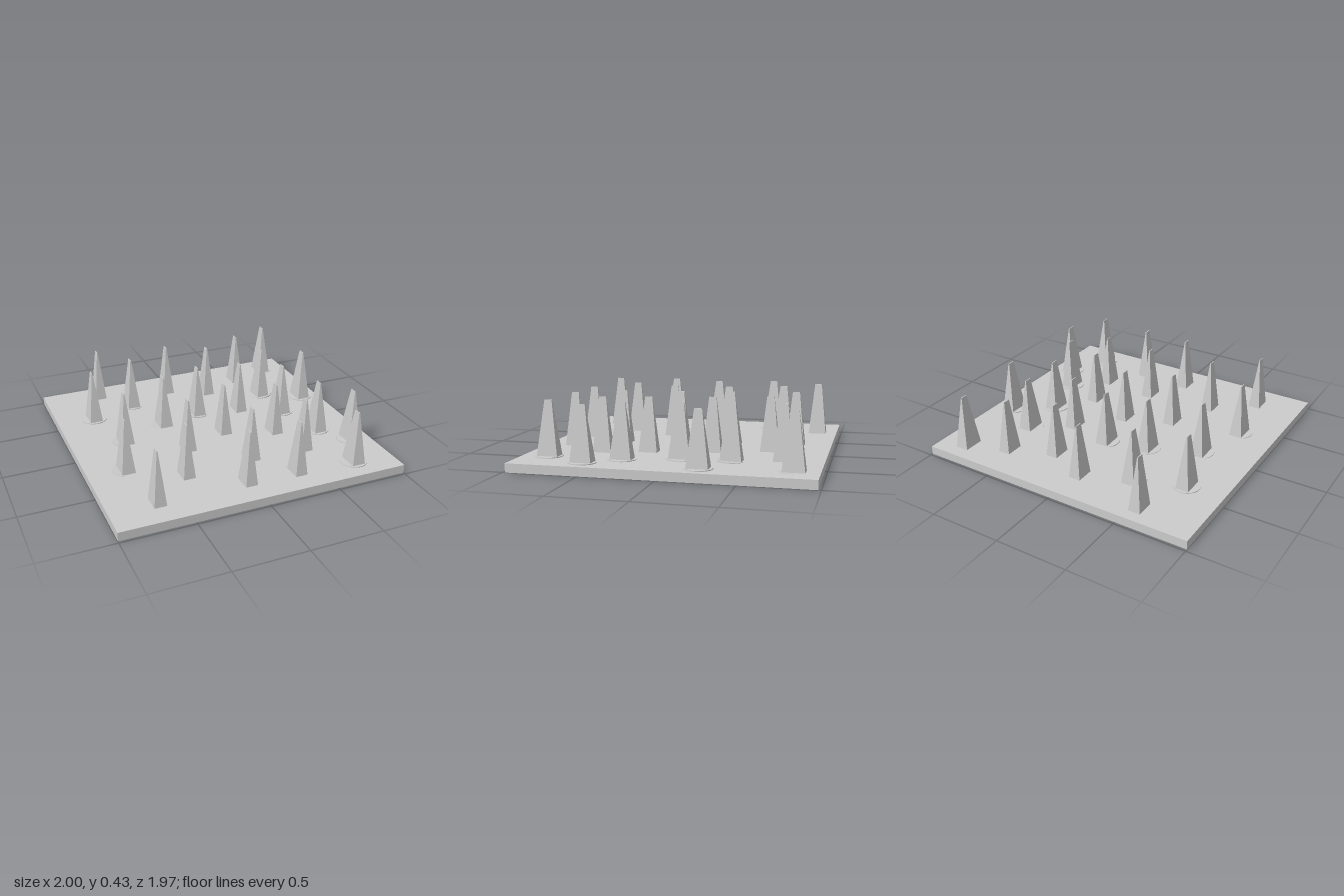
import * as THREE from 'three';

const material = new THREE.MeshStandardMaterial({ color: 0xcccccc, flatShading: true });
const plateTop = 0.06;
const spikeHeight = 0.375;

// Four-sided spike: a box whose top is drawn in to a short ridge along z
function spikeGeometry(width, depth) {
  const geometry = new THREE.BoxGeometry(width, spikeHeight, depth);
  const p = geometry.attributes.position;
  for (let i = 0; i < p.count; i++) {
    if (p.getY(i) > 0) p.setXYZ(i, Math.sign(p.getX(i)) * 0.003, p.getY(i), Math.sign(p.getZ(i)) * 0.025);
  }
  geometry.translate(0, spikeHeight / 2, 0);
  geometry.computeVertexNormals();
  return geometry;
}

export function createModel() {
  const model = new THREE.Group();
  const add = (name, geometry, x, y, z) => {
    const mesh = new THREE.Mesh(geometry, material);
    mesh.name = name;
    mesh.position.set(x, y, z);
    model.add(mesh);
    return mesh;
  };

  // Base plate
  add('basePlate', new THREE.BoxGeometry(2, plateTop, 1.965), 0, plateTop / 2, 0);

  // Plain spikes: x, z
  const plain = [
    [-0.59, -0.84], [-0.07, -0.73], [0.215, -0.59], [0.52, -0.72], [0.325, -0.215],
    [0.075, 0.07], [-0.25, 0.2], [0.415, 0.205], [-0.39, 0.53], [0.1, 0.485],
    [0.49, 0.505], [-0.675, 0.765], [-0.055, 0.765], [0.3, 0.775],
  ];
  const smallSpike = spikeGeometry(0.084, 0.128);
  plain.forEach(([x, z]) => add('spike', smallSpike, x, plateTop - 0.002, z));

  // Spikes with a collar disc: x, z, then raised direction of a tilted disc
  // and the distance from its centre at which it leaves the plate
  const collared = [
    [-0.73, -0.48], [0.865, -0.24], [0.605, -0.06], [0.71, 0.3], [0.86, 0.515], [0.715, 0.8],
    [-0.4, -0.6, -0.55, 0.83, 0],
    [0.59, -0.395, 0.7, 0.7, -0.045],
    [0.01, -0.28, -0.8, 0.6, -0.035],
    [-0.28, -0.21, -0.9, -0.42, 0.03],
    [-0.62, -0.065, -0.98, 0.2, 0.02],
    [-0.735, 0.31, -1, 0, 0.02],
    [0.805, -0.82, 0.7, 0.7, 0.053],
  ];
  const largeSpike = spikeGeometry(0.094, 0.144);
  const disc = new THREE.CylinderGeometry(0.093, 0.093, 0.008, 32).translate(0, -0.004, 0);
  const up = new THREE.Vector3(0, 1, 0);
  collared.forEach(([x, z, dx, dz, edge]) => {
    add('collaredSpike', largeSpike, x, plateTop - 0.002, z);
    const tilted = dx !== undefined;
    const tilt = 0.06;
    const collar = add('collarDisc', disc, x, tilted ? plateTop - tilt * edge : plateTop + 0.005, z);
    if (tilted) {
      const normal = new THREE.Vector3(-tilt * dx, 1, -tilt * dz).normalize();
      collar.quaternion.setFromUnitVectors(up, normal);
    }
  });

  return model;
}
